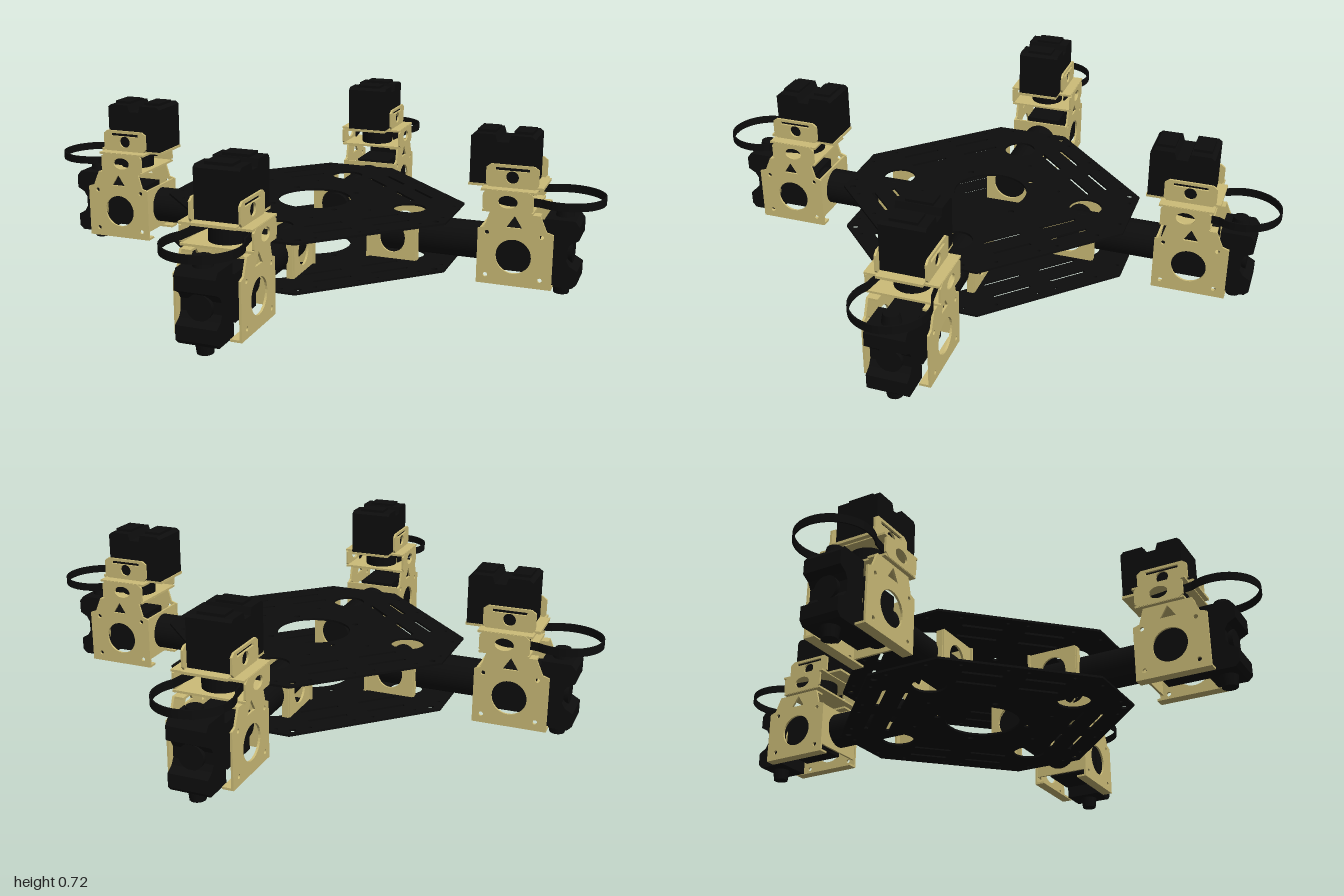
import * as THREE from 'three';

const dark = new THREE.MeshStandardMaterial({ color: 0x0d0d0d });
const gold = new THREE.MeshStandardMaterial({ color: 0xcdbd78 });

function add(parent, name, geo, mat, x = 0, y = 0, z = 0) {
  const mesh = new THREE.Mesh(geo, mat);
  mesh.name = name;
  mesh.position.set(x, y, z);
  parent.add(mesh);
  return mesh;
}
const box = (w, h, d) => new THREE.BoxGeometry(w, h, d);
const polygon = (pts) => new THREE.Shape(pts.map(([x, y]) => new THREE.Vector2(x, y)));
// Extrusion centred on its own thickness
function slab(shape, depth) {
  const g = new THREE.ExtrudeGeometry(shape, { depth, bevelEnabled: false, curveSegments: 16 });
  return g.translate(0, 0, -depth / 2);
}
function hole(shape, x, y, rx, ry = rx) {
  const p = new THREE.Path();
  p.absellipse(x, y, rx, ry, 0, Math.PI * 2, true);
  shape.holes.push(p);
}
function slot(shape, x0, y0, x1, y1) {
  shape.holes.push(new THREE.Path([[x0, y0], [x0, y1], [x1, y1], [x1, y0]].map(([x, y]) => new THREE.Vector2(x, y))));
}
// Cylinder lying along the arm
const rod = (r, len, n = 28) => new THREE.CylinderGeometry(r, r, len, n).rotateZ(Math.PI / 2);

// Octagonal deck with central opening, corner openings, slots and screw holes
function deckGeometry() {
  const a = 0.605, b = 0.36;
  const s = polygon([[a, -b], [a, b], [b, a], [-b, a], [-a, b], [-a, -b], [-b, -a], [b, -a]]);
  hole(s, 0, 0, 0.172);
  for (const i of [-1, 1]) {
    hole(s, i * 0.215, 0, 0.014);
    hole(s, 0, i * 0.215, 0.014);
    for (const j of [-1, 1]) {
      hole(s, i * 0.33, j * 0.33, 0.075);
      for (const d of [0.405, 0.505]) {
        slot(s, Math.min(i * 0.05, i * 0.23), j * d - 0.009, Math.max(i * 0.05, i * 0.23), j * d + 0.009);
        slot(s, j * d - 0.009, Math.min(i * 0.05, i * 0.23), j * d + 0.009, Math.max(i * 0.05, i * 0.23));
      }
      for (const [u, v] of [[0.045, 0.57], [0.25, 0.57], [0.39, 0.53], [0.145, 0.29]]) {
        hole(s, i * u, j * v, 0.008);
        if (u !== 0.145) hole(s, i * v, j * u, 0.008);
      }
      hole(s, i * 0.33, j * 0.57, 0.015);
    }
  }
  return slab(s, 0.01).rotateX(Math.PI / 2);
}

// Teardrop guard band, tail towards the body
function guardGeometry() {
  const outline = (r) => {
    const k = 0.166 - r, pts = [[0.9, 0.11 - k]];
    for (let i = 0; i <= 36; i++) {
      const a = 2.75 - (i / 36) * 5.5;
      pts.push([1.18 + r * Math.cos(a), r * Math.sin(a)]);
    }
    pts.push([0.9, -0.11 + k]);
    // The straight tails start where they clear the circle
    return pts.filter(([x, z], i) => i === 0 || i === pts.length - 1 || x > 1.08);
  };
  const outer = outline(0.166), inner = outline(0.159).reverse();
  return slab(polygon([...outer, ...inner]), 0.036).rotateX(Math.PI / 2);
}

function buildArm() {
  const arm = new THREE.Group();

  // Hip motor and its cradle between the decks
  add(arm, 'hipMotor', rod(0.085, 0.56), dark, 0.6, 0.2, 0);
  add(arm, 'hipMotorCap', rod(0.06, 0.03), dark, 0.31, 0.2, 0);
  const back = polygon([[-0.12, 0.1], [0.12, 0.1], [0.12, 0.305], [-0.12, 0.305]]);
  hole(back, 0, 0.2, 0.08);
  add(arm, 'cradleBack', slab(back, 0.01).rotateY(Math.PI / 2), gold, 0.305, 0, 0);
  for (const s of [-1, 1]) {
    const cheek = polygon([[0.31, 0.1], [0.53, 0.1], [0.53, 0.305], [0.31, 0.305]]);
    hole(cheek, 0.42, 0.2, 0.06, 0.07);
    add(arm, 'cradleCheek', slab(cheek, 0.01), gold, 0, 0, s * 0.105);
    add(arm, 'cradleFlange', box(0.012, 0.2, 0.03), gold, 0.53, 0.2, s * 0.09);
  }

  // Knee housing: side plates with a round window, tab and folded lips
  for (const s of [-1, 1]) {
    const side = polygon([[0.82, 0.05], [1.15, 0.05], [1.15, 0.3], [1.12, 0.31], [1.09, 0.38],
      [0.87, 0.38], [0.85, 0.31], [0.82, 0.3]]);
    hole(side, 0.98, 0.185, 0.078);
    side.holes.push(new THREE.Path([[0.945, 0.315], [0.98, 0.37], [1.015, 0.315]].map((p) => new THREE.Vector2(...p))));
    for (const u of [0.86, 1.1]) for (const v of [0.09, 0.285]) hole(side, u, v, 0.01);
    add(arm, 'kneeSidePlate', slab(side, 0.01), gold, 0, 0, s * 0.14);
    add(arm, 'kneeBottomLip', box(0.33, 0.01, 0.05), gold, 0.985, 0.055, s * 0.12);
    add(arm, 'kneeTopLip', box(0.22, 0.01, 0.05), gold, 0.98, 0.375, s * 0.12);
  }
  const end = polygon([[-0.14, 0.09], [0.14, 0.09], [0.14, 0.3], [-0.14, 0.3]]);
  hole(end, 0, 0.2, 0.08);
  add(arm, 'kneeInnerPlate', slab(end, 0.01).rotateY(Math.PI / 2), gold, 0.83, 0, 0);
  add(arm, 'kneeMotor', rod(0.085, 0.24), dark, 0.96, 0.19, 0);
  add(arm, 'kneeMotorBody', box(0.2, 0.2, 0.17), dark, 0.98, 0.2, 0);
  add(arm, 'kneeHub', rod(0.075, 0.03), gold, 1.085, 0.19, 0);

  // Outer foot unit: scalloped block with studs above and below
  const foot = polygon([[1.1, 0.05], [1.23, 0.05], [1.25, 0.07], [1.25, 0.13], [1.215, 0.15], [1.2, 0.175],
    [1.2, 0.225], [1.215, 0.25], [1.25, 0.27], [1.25, 0.33], [1.23, 0.355], [1.1, 0.355]]);
  add(arm, 'footBlock', slab(foot, 0.176), dark);
  add(arm, 'footBoss', rod(0.055, 0.03), dark, 1.205, 0.2, 0);
  add(arm, 'footStud', new THREE.CylinderGeometry(0.042, 0.034, 0.06, 16), dark, 1.174, 0.03, 0);
  add(arm, 'footTopStud', new THREE.CylinderGeometry(0.034, 0.042, 0.045, 16), dark, 1.174, 0.375, 0);

  // Swivel bracket carrying the upper servo
  add(arm, 'swivelFloor', box(0.22, 0.01, 0.32), gold, 0.95, 0.388, 0);
  add(arm, 'swivelShelf', box(0.24, 0.01, 0.32), gold, 0.95, 0.479, 0);
  add(arm, 'swivelRim', box(0.33, 0.012, 0.2), gold, 0.925, 0.485, 0);
  add(arm, 'swivelHub', new THREE.CylinderGeometry(0.08, 0.08, 0.09, 24), dark, 0.95, 0.435, 0);
  for (const s of [-1, 1]) {
    const low = polygon([[0.86, 0.385], [1.04, 0.385], [1.06, 0.4], [1.06, 0.465], [1.04, 0.482],
      [0.86, 0.482], [0.84, 0.465], [0.84, 0.4]]);
    hole(low, 0.95, 0.433, 0.042, 0.028);
    add(arm, 'swivelLowerCheek', slab(low, 0.01), gold, 0, 0, s * 0.157);
    const top = polygon([[0.86, 0.475], [1.05, 0.475], [1.07, 0.5], [1.07, 0.57], [1.05, 0.585],
      [0.86, 0.585], [0.84, 0.57], [0.84, 0.5]]);
    hole(top, 0.955, 0.53, 0.028);
    slot(top, 0.88, 0.558, 1.03, 0.572);
    add(arm, 'swivelUpperCheek', slab(top, 0.01), gold, 0, 0, s * 0.107);
  }

  // Upper servo with a notched top
  const servo = polygon([[0.765, 0.49], [1.045, 0.49], [1.045, 0.7], [1.03, 0.712], [0.94, 0.712],
    [0.93, 0.68], [0.88, 0.68], [0.87, 0.712], [0.78, 0.712], [0.765, 0.7]]);
  add(arm, 'upperServo', slab(servo, 0.2), dark);
  for (const x of [0.825, 0.985]) add(arm, 'servoCap', box(0.08, 0.02, 0.12), dark, x, 0.714, 0);

  // Guard band
  add(arm, 'guardBand', guardGeometry(), dark, 0, 0.435, 0);
  return arm;
}

export function createModel() {
  const model = new THREE.Group();
  const deck = deckGeometry();
  add(model, 'lowerDeck', deck, dark, 0, 0.09, 0);
  add(model, 'upperDeck', deck, dark, 0, 0.31, 0);
  const arm = buildArm();
  ['frontLeftArm', 'backLeftArm', 'backRightArm', 'frontRightArm'].forEach((name, i) => {
    const copy = arm.clone();
    copy.name = name;
    copy.rotation.y = -Math.PI / 4 + (i * Math.PI) / 2;
    model.add(copy);
  });
  return model;
}
